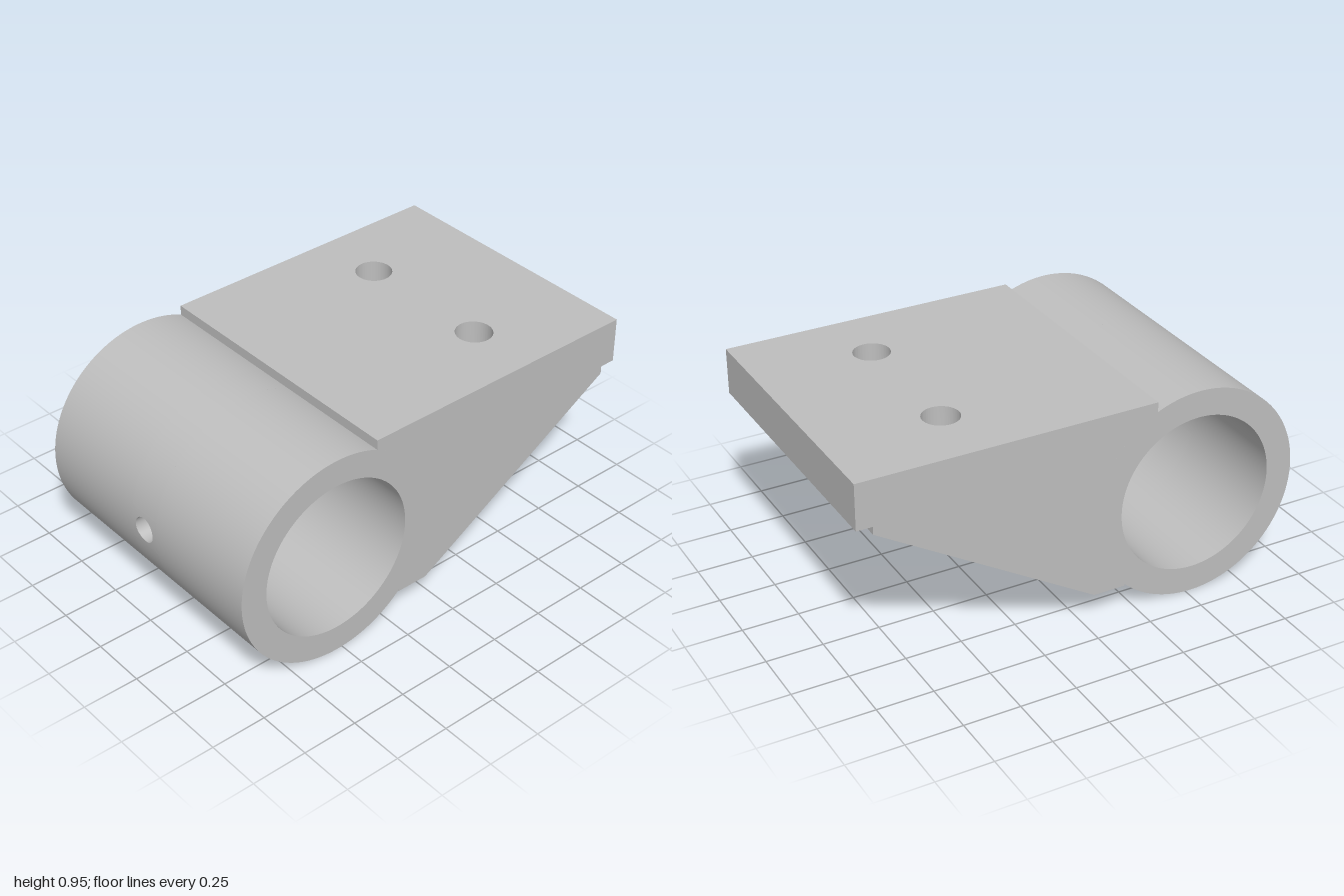
import * as THREE from 'three';
import { toCreasedNormals } from 'three/addons/utils/BufferGeometryUtils.js';
import { ParametricGeometry } from 'three/addons/geometries/ParametricGeometry.js';

const WIDTH = 1.26;
const CZ = 0.525, CY = 0.475;      // sleeve axis
const RO = 0.475, RI = 0.355;      // sleeve outer and inner radius
const PIN = 0.057, PATCH = 0.08;   // pin hole radius, half size of the patch around it
const PLATE_Y = 0.745, TOP = 0.95;
const SINK = 0.1;                  // countersink depth

export function createModel() {
  const group = new THREE.Group();
  const grey = new THREE.MeshStandardMaterial({ color: 0xbebebe });
  grey.name = 'light grey';
  const greyDouble = grey;

  function add(name, geometry, x = 0, y = 0, z = 0) {
    const mesh = new THREE.Mesh(geometry, greyDouble);
    mesh.name = name;
    mesh.position.set(x, y, z);
    group.add(mesh);
    return mesh;
  }

  // Extrudes a (z, y) side profile along x, centred on x = 0
  function sideExtrude(shape, width) {
    const g = new THREE.ExtrudeGeometry(shape, { depth: width, bevelEnabled: false, curveSegments: 96 });
    g.translate(0, 0, -width / 2).rotateY(-Math.PI / 2);
    return toCreasedNormals(g, 0.5);
  }

  // Points along the sleeve's outer circle
  function sleeveArc(from, to, n = 32) {
    return Array.from({ length: n + 1 }, (_, i) => {
      const a = from + (to - from) * i / n;
      return new THREE.Vector2(CZ + RO * Math.cos(a), CY + RO * Math.sin(a));
    });
  }
  const v2 = (x, y) => new THREE.Vector2(x, y);

  // Sleeve: full rings on both sides of the pin hole
  const ring = new THREE.Shape().absarc(0, 0, RO, 0, Math.PI * 2);
  ring.holes.push(new THREE.Path().absarc(0, 0, RI, 0, Math.PI * 2, true));
  const sideWidth = WIDTH / 2 - PATCH;
  for (const s of [-1, 1]) {
    add(s > 0 ? 'sleeveLeft' : 'sleeveRight', sideExtrude(ring, sideWidth), s * (PATCH + sideWidth / 2), CY, CZ);
  }

  // Sleeve middle: ring left open at the front for the pin hole patch
  const ao = Math.asin(PATCH / RO), ai = Math.asin(PATCH / RI);
  const openRing = new THREE.Shape()
    .absarc(0, 0, RO, ao, Math.PI * 2 - ao)
    .absarc(0, 0, RI, Math.PI * 2 - ai, ai, true);
  add('sleeveMiddle', sideExtrude(openRing, PATCH * 2), 0, CY, CZ);

  // Curved square patch with a round hole, on the outer or inner wall
  function patch(radius, outer) {
    return new ParametricGeometry((u, v, target) => {
      const a = (outer ? -u : u) * Math.PI * 2, c = Math.cos(a), s = Math.sin(a);
      const edge = PATCH / Math.max(Math.abs(c), Math.abs(s));
      const r = PIN + (edge - PIN) * v;
      target.set(r * c, r * s, Math.sqrt(radius * radius - r * r * s * s));
    }, 48, 4);
  }
  // The outward normal is checked so each wall shows its front face
  function facing(geometry, sign) {
    const p = geometry.attributes.position, ix = geometry.index;
    const [a, b, c] = [0, 1, 2].map(i => new THREE.Vector3().fromBufferAttribute(p, ix.getX(i)));
    const n = b.sub(a).cross(c.sub(a));
    if (n.z * sign < 0) {
      for (let i = 0; i < ix.count; i += 3) {
        const t = ix.getX(i);
        ix.setX(i, ix.getX(i + 1));
        ix.setX(i + 1, t);
      }
    }
    geometry.computeVertexNormals();
    return geometry;
  }
  add('pinHoleOuterWall', facing(patch(RO, true), 1), 0, CY, CZ);
  add('pinHoleInnerWall', facing(patch(RI, false), -1), 0, CY, CZ);

  // Pin hole bore through the sleeve wall
  const boreMaterial = new THREE.MeshStandardMaterial({ color: 0xbebebe, side: THREE.DoubleSide });
  boreMaterial.name = 'light grey bore';
  const bore = new ParametricGeometry((u, v, target) => {
    const a = u * Math.PI * 2, y = PIN * Math.sin(a);
    const zi = Math.sqrt(RI * RI - y * y), zo = Math.sqrt(RO * RO - y * y);
    target.set(PIN * Math.cos(a), y, zi + (zo - zi) * v);
  }, 48, 1);
  add('pinHoleBore', bore, 0, CY, CZ).material = boreMaterial;

  // Mounting plate in two layers, the lower one opened wider for the countersinks
  const plateArc = Math.atan2(PLATE_Y - CY, -Math.sqrt(RO ** 2 - (PLATE_Y - CY) ** 2));
  const joinZ = CZ + RO * Math.cos(plateArc);
  const holeX = 0.315, holeZ = -0.48, holeR = 0.08, sinkR = 0.12;
  function plateLayer(name, y, height, r) {
    const w = WIDTH / 2;
    const shape = new THREE.Shape([v2(-w, -joinZ), v2(w, -joinZ), v2(w, 1), v2(-w, 1)]);
    for (const s of [-1, 1]) {
      shape.holes.push(new THREE.Path().absarc(s * holeX, -holeZ, r, 0, Math.PI * 2, true));
    }
    const g = new THREE.ExtrudeGeometry(shape, { depth: height, bevelEnabled: false, curveSegments: 48 });
    add(name, toCreasedNormals(g.rotateX(-Math.PI / 2), 0.5), 0, y, 0);
  }
  plateLayer('plateTop', PLATE_Y + SINK, TOP - PLATE_Y - SINK, holeR);
  plateLayer('plateBottom', PLATE_Y, SINK, sinkR);
  for (const s of [-1, 1]) {
    const cone = new THREE.CylinderGeometry(holeR, sinkR, SINK, 48, 1, true);
    add('countersink', cone, s * holeX, PLATE_Y + SINK / 2, holeZ).material = boreMaterial;
  }

  // Front end of the plate, resting on the sleeve
  const lipZ = 0.325;
  const lipArc = Math.acos((lipZ - CZ) / RO);
  add('plateFront', sideExtrude(new THREE.Shape([
    ...sleeveArc(plateArc, lipArc), v2(lipZ, TOP), v2(joinZ, TOP),
  ]), WIDTH));

  // Three sloped ribs under the plate
  const ribWidth = 0.172, footZ = 0.195;
  const footArc = Math.PI * 2 - Math.acos((footZ - CZ) / RO);
  const rib = sideExtrude(new THREE.Shape([
    v2(footZ, 0.125), ...sleeveArc(footArc, plateArc),
    v2(-0.93, PLATE_Y), v2(-0.93, 0.71), v2(0.05, 0.125),
  ]), ribWidth);
  for (const s of [-1, 0, 1]) add('rib', rib, s * (WIDTH - ribWidth) / 2);

  return group;
}
